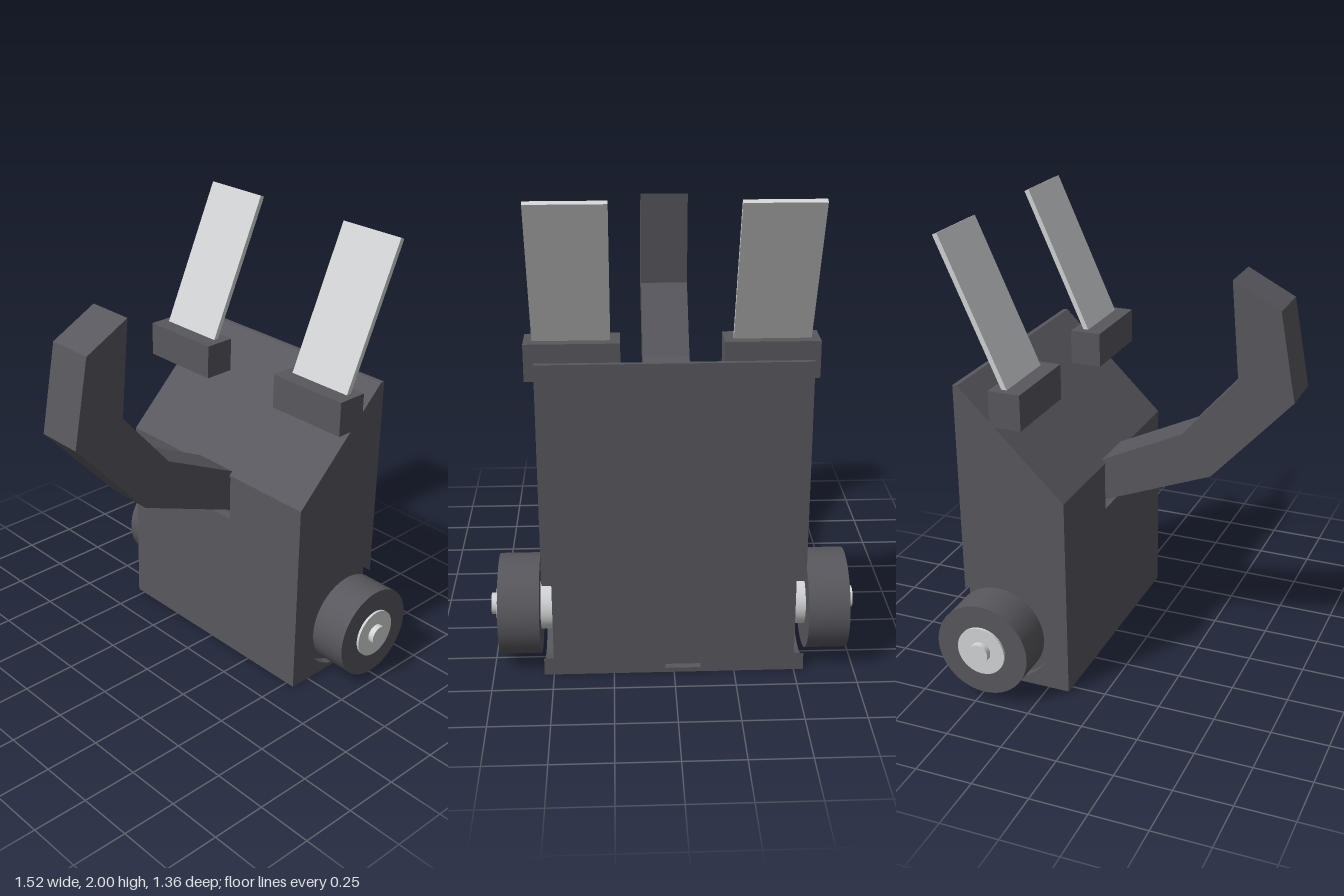
import * as THREE from 'three';

const darkGrey = new THREE.MeshStandardMaterial({ name: 'darkGrey', color: 0x57575d });
const lightGrey = new THREE.MeshStandardMaterial({ name: 'lightGrey', color: 0xd3d4d5 });

// Extrude a side profile of [z, y] points (or a ready Shape) from x0 to x1
function slab(name, profile, x0, x1, material) {
  const shape = profile instanceof THREE.Shape
    ? profile
    : new THREE.Shape(profile.map(([z, y]) => new THREE.Vector2(z, y)));
  const geo = new THREE.ExtrudeGeometry(shape, { depth: x1 - x0, bevelEnabled: false, curveSegments: 32 });
  geo.rotateY(-Math.PI / 2).translate(x1, 0, 0);
  const mesh = new THREE.Mesh(geo, material);
  mesh.name = name;
  return mesh;
}

// Cylinder along x, centred on the wheel axis
const AXLE_Y = 0.247, AXLE_Z = -0.47;
function disc(name, radius, x0, x1, material) {
  const geo = new THREE.CylinderGeometry(radius, radius, x1 - x0, 48);
  geo.rotateZ(-Math.PI / 2).translate((x0 + x1) / 2, AXLE_Y, AXLE_Z);
  const mesh = new THREE.Mesh(geo, material);
  mesh.name = name;
  return mesh;
}

export function createModel() {
  const model = new THREE.Group();
  model.name = 'model';

  // Body: sloped-top wedge, with optional arm slot (front) and small notch (back)
  const armSlot = [[-0.155, 0.69], [-0.195, 0.69], [-0.195, 0.9], [-0.155, 0.9]];
  const backNotch = [[-0.64, 0.085], [-0.61, 0.085], [-0.61, 0.02], [-0.64, 0.02]];
  const bodyProfile = (slot, notch) => [
    [-0.155, 0], ...(slot ? armSlot : []), [-0.155, 0.91],
    [-0.62, 1.365], [-0.64, 1.365], ...(notch ? backNotch : []), [-0.64, 0],
  ];
  const body = new THREE.Group();
  body.name = 'body';
  body.add(
    slab('bodyRight', bodyProfile(false, false), -0.5, -0.11, darkGrey),
    slab('bodyCentre', bodyProfile(true, true), -0.11, 0.037, darkGrey),
    slab('bodySlotEdge', bodyProfile(true, false), 0.037, 0.11, darkGrey),
    slab('bodyLeft', bodyProfile(false, false), 0.11, 0.5, darkGrey),
  );

  // Side plates with a round wheel recess that breaks through the back edge
  const plate = new THREE.Shape();
  plate.moveTo(-0.155, 0);
  plate.lineTo(-0.155, 0.91);
  plate.lineTo(-0.62, 1.365);
  plate.lineTo(-0.64, 1.365);
  plate.absarc(AXLE_Z, AXLE_Y, 0.24, Math.PI * 0.75, -Math.PI * 0.75, true);
  plate.lineTo(-0.64, 0);
  plate.closePath();
  body.add(
    slab('sidePlateRight', plate, -0.54, -0.5, darkGrey),
    slab('sidePlateLeft', plate, 0.5, 0.54, darkGrey),
  );
  model.add(body);

  // Curved front arm
  model.add(slab('frontArm', [
    [-0.195, 0.72], [0.33, 0.93], [0.68, 1.315], [0.61, 1.695],
    [0.405, 1.8], [0.44, 1.38], [0.2, 1.105], [-0.195, 0.914],
  ], -0.105, 0.105, darkGrey));

  for (const [side, s] of [['left', 1], ['right', -1]]) {
    const span = (a, b) => (s > 0 ? [a, b] : [-b, -a]);

    // Wheel, hub and axle
    const wheel = new THREE.Group();
    wheel.name = side + 'WheelAssembly';
    wheel.add(
      disc('wheel', 0.21, ...span(0.552, 0.722), darkGrey),
      disc('hub', 0.11, ...span(0.49, 0.733), lightGrey),
      disc('axle', 0.045, ...span(0.72, 0.76), lightGrey),
    );
    model.add(wheel);

    // Upper block with a raised panel leaning back
    model.add(slab(side + 'Block', [
      [-0.31, 1.23], [-0.31, 1.385], [-0.45, 1.385], [-0.45, 1.23],
    ], ...span(0.207, 0.592), darkGrey));
    model.add(slab(side + 'Panel', [
      [-0.38, 1.38], [-0.657, 2], [-0.677, 1.991], [-0.404, 1.38],
    ], ...span(0.246, 0.558), lightGrey));
  }
  return model;
}
